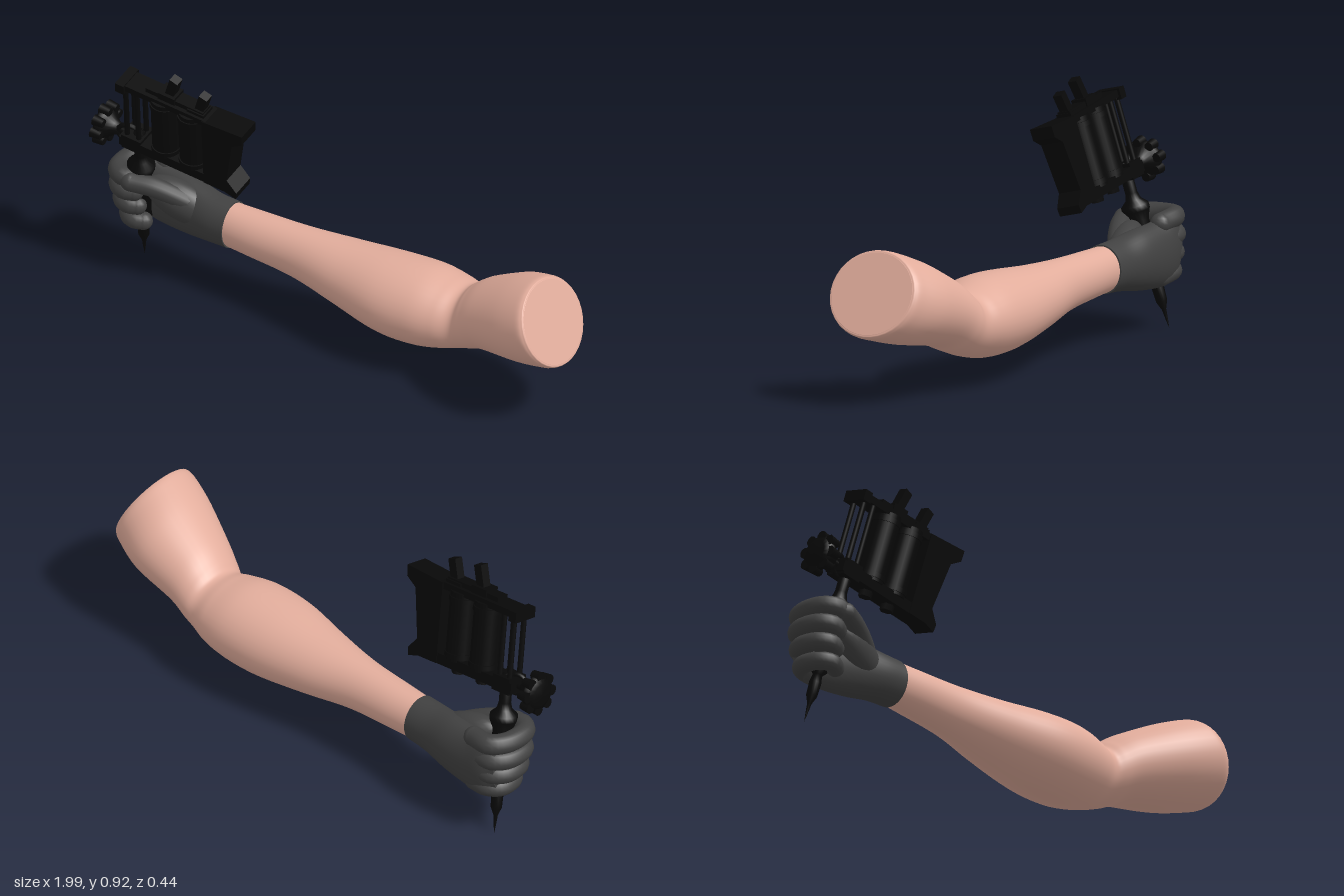
import * as THREE from 'three';

const skin = new THREE.MeshStandardMaterial({ color: 0xe2ad9c });
const glove = new THREE.MeshStandardMaterial({ color: 0x414141 });
const black = new THREE.MeshStandardMaterial({ color: 0x080808 });
skin.name = 'skin';
glove.name = 'glove grey';
black.name = 'machine black';

function add(parent, name, geometry, material, x = 0, y = 0, z = 0) {
  const mesh = new THREE.Mesh(geometry, material);
  mesh.name = name;
  mesh.position.set(x, y, z);
  parent.add(mesh);
  return mesh;
}

// Smooth closed body through sections [x, y, z, halfHeight, halfWidth, tilt], listed from -x to +x
function loft(sections, steps = 40, sides = 36) {
  const spline = (f) => new THREE.CatmullRomCurve3(sections.map(f), false, 'catmullrom', 0.5);
  const centre = spline((s) => new THREE.Vector3(s[0], s[1], s[2]));
  const size = spline((s) => new THREE.Vector3(s[3], s[4], s[5] || 0));
  const pos = [], idx = [];
  const ring = (t) => {
    const c = centre.getPoint(t), s = size.getPoint(t);
    for (let k = 0; k < sides; k++) {
      const a = (k / sides) * Math.PI * 2;
      const u = s.x * Math.cos(a);
      pos.push(c.x - u * Math.sin(s.z), c.y + u * Math.cos(s.z), c.z + s.y * Math.sin(a));
    }
    return c;
  };
  for (let i = 0; i <= steps; i++) ring(i / steps);
  for (let i = 0; i < steps; i++) {
    for (let k = 0; k < sides; k++) {
      const a = i * sides + k, b = i * sides + ((k + 1) % sides);
      idx.push(a, b, a + sides, b, b + sides, a + sides);
    }
  }
  // flat end caps with their own corners, so the rims stay crisp
  for (const t of [0, 1]) {
    const start = pos.length / 3;
    const c = ring(t);
    pos.push(c.x, c.y, c.z);
    for (let k = 0; k < sides; k++) {
      const a = start + k, b = start + ((k + 1) % sides);
      idx.push(start + sides, t ? a : b, t ? b : a);
    }
  }
  const g = new THREE.BufferGeometry();
  g.setAttribute('position', new THREE.Float32BufferAttribute(pos, 3));
  g.setIndex(idx);
  g.computeVertexNormals();
  return g;
}

// Rounded finger along a curve
function digit(parent, name, points, r) {
  const g = new THREE.Group();
  g.name = name;
  const pts = points.map((p) => new THREE.Vector3(...p));
  add(g, name + 'Tube', new THREE.TubeGeometry(new THREE.CatmullRomCurve3(pts), 24, r, 14), glove);
  for (const p of [pts[0], pts[pts.length - 1]]) {
    add(g, name + 'End', new THREE.SphereGeometry(r, 14, 10), glove, p.x, p.y, p.z);
  }
  parent.add(g);
}

// Forearm, elbow bend and upper arm in one skin
function buildArm() {
  return new THREE.Mesh(loft([
    [-0.5, 0.275, -0.067, 0.083, 0.073],
    [-0.4, 0.272, -0.065, 0.086, 0.08],
    [-0.2, 0.265, -0.062, 0.096, 0.093],
    [0, 0.252, -0.057, 0.118, 0.132],
    [0.2, 0.243, -0.047, 0.142, 0.168],
    [0.35, 0.243, -0.049, 0.145, 0.171],
    [0.45, 0.243, -0.053, 0.128, 0.155, 0.02],
    [0.515, 0.249, -0.054, 0.113, 0.134, 0.1],
    [0.56, 0.272, -0.046, 0.118, 0.14, 0.16],
    [0.63, 0.31, -0.03, 0.127, 0.152, 0.2],
    [0.79, 0.362, 0.003, 0.153, 0.183, 0.34],
    [0.9, 0.398, 0.035, 0.162, 0.18, 0.41],
    [0.932, 0.409, 0.043, 0.159, 0.17, 0.415],
    [0.937, 0.411, 0.045, 0.15, 0.16, 0.415],
  ], 110), skin);
}

function buildGlove() {
  const hand = new THREE.Group();
  hand.name = 'glovedHand';
  add(hand, 'palm', loft([
    [-0.925, 0.31, -0.115, 0.09, 0.03],
    [-0.87, 0.297, -0.115, 0.126, 0.053],
    [-0.79, 0.282, -0.106, 0.119, 0.066],
    [-0.68, 0.279, -0.09, 0.109, 0.077],
    [-0.58, 0.276, -0.073, 0.093, 0.079],
    [-0.49, 0.275, -0.067, 0.088, 0.079],
  ]), glove);

  // four fingers curled round the grip
  const fingers = [
    ['indexFinger', 0.405, 0, 0.037], ['middleFinger', 0.34, -0.008, 0.036],
    ['ringFinger', 0.276, -0.003, 0.034], ['littleFinger', 0.212, 0.014, 0.033],
  ];
  for (const [name, y, dx, r] of fingers) {
    const z = (y - 0.3) * 0.22;
    digit(hand, name, [
      [-0.81, y - 0.012, -0.122], [-0.895 + dx, y + 0.002, -0.13],
      [-0.93 + dx, y, -0.085 + z * 0.5], [-0.925 + dx, y - 0.003, -0.01 + z],
      [-0.885 + dx, y - 0.006, 0.02 + z], [-0.85 + dx, y - 0.01, 0.005 + z],
    ], r);
  }

  // thumb and its fleshy base
  digit(hand, 'thumb', [
    [-0.62, 0.305, -0.055], [-0.69, 0.345, -0.016],
    [-0.77, 0.377, 0.02], [-0.85, 0.39, 0.05],
  ], 0.036);
  const base = add(hand, 'thumbBase', new THREE.SphereGeometry(1, 24, 16), glove, -0.69, 0.315, -0.045);
  base.scale.set(0.15, 0.072, 0.062);
  base.rotation.set(0, 0.25, -0.4);
  return hand;
}

// Machine stands along its own y axis, needle point at the origin
function buildMachine() {
  const m = new THREE.Group();
  m.name = 'needleMachine';
  const box = (name, w, h, d, x, y, z = 0) => add(m, name, new THREE.BoxGeometry(w, h, d), black, x, y, z);
  const rod = (name, r, h, x, y, z = 0, sides = 16) =>
    add(m, name, new THREE.CylinderGeometry(r, r, h, sides), black, x, y, z);
  const turned = (points) => new THREE.LatheGeometry(points.map((p) => new THREE.Vector2(...p)), 20);

  // needle, tip, grip and tube in one turned profile
  add(m, 'gripAndNeedle', turned([
    [0, 0], [0.004, 0.03], [0.008, 0.07], [0.02, 0.1], [0.022, 0.15], [0.017, 0.18],
    [0.034, 0.2], [0.036, 0.4], [0.05, 0.435], [0.05, 0.455], [0.028, 0.475],
    [0.022, 0.5], [0.022, 0.61], [0, 0.61],
  ]), black);

  // frame bars and clamp
  box('lowerBar', 0.46, 0.04, 0.085, 0.17, 0.578);
  box('tubeClamp', 0.08, 0.06, 0.085, -0.01, 0.58);
  box('upperBar', 0.5, 0.026, 0.08, 0.19, 0.853);
  box('upperBarFrontBlock', 0.035, 0.04, 0.1, -0.045, 0.85);
  box('springPlate', 0.24, 0.02, 0.05, 0.17, 0.875);

  // rear upright with flared ends
  const outline = [
    [0.295, 0.865], [0.465, 0.877], [0.463, 0.835], [0.42, 0.805], [0.393, 0.62],
    [0.432, 0.575], [0.428, 0.545], [0.38, 0.558], [0.295, 0.558],
  ].map((p) => new THREE.Vector2(...p));
  const upright = new THREE.ExtrudeGeometry(new THREE.Shape(outline), { depth: 0.09, bevelEnabled: false });
  add(m, 'rearUpright', upright, black, 0, 0, -0.045);

  // two coils with end washers
  for (const x of [0.113, 0.228]) {
    rod('coil', 0.051, 0.26, x, 0.72, 0, 24);
    for (const y of [0.61, 0.822]) rod('coilWasher', 0.055, 0.018, x, y, 0, 24);
    rod('coilBolt', 0.025, 0.03, x, 0.55, 0, 6);
  }

  // slim front posts
  for (const x of [-0.035, 0.012]) {
    for (const z of [-0.025, 0.025]) rod('frontPost', 0.01, 0.26, x, 0.72, z, 10);
  }

  // leaning contact posts on top
  for (const [x, y] of [[0.15, 0.915], [0.272, 0.898]]) {
    box('contactPost', 0.034, 0.11, 0.035, x, y).rotation.z = -0.27;
    box('contactFoot', 0.07, 0.03, 0.06, x - 0.012, y - 0.035);
  }

  // clamp screw with a lobed, flared knob
  rod('clampScrew', 0.014, 0.12, -0.07, 0.583).rotation.z = Math.PI / 2;
  const ring = add(m, 'clampRing', new THREE.TorusGeometry(0.036, 0.009, 8, 24), black, -0.05, 0.585);
  ring.rotation.y = 0.3;
  const knob = new THREE.Group();
  knob.name = 'clampKnob';
  knob.position.set(-0.135, 0.583, 0);
  knob.rotation.z = Math.PI / 2;
  add(knob, 'knobBody', turned([
    [0, -0.055], [0.02, -0.055], [0.028, -0.035], [0.052, -0.012], [0.064, 0],
    [0.064, 0.022], [0.04, 0.034], [0, 0.036],
  ]), black);
  for (let i = 0; i < 8; i++) {
    const a = (i / 8) * Math.PI * 2;
    add(knob, 'knobLobe', new THREE.CylinderGeometry(0.02, 0.016, 0.04, 10), black,
      0.062 * Math.cos(a), 0.006, 0.062 * Math.sin(a));
  }
  m.add(knob);

  m.position.set(-0.895, 0.004, -0.108);
  m.rotation.set(0.24, 0, -0.125);
  return m;
}

export function createModel() {
  const model = new THREE.Group();
  model.name = 'armWithMachine';
  const arm = buildArm();
  arm.name = 'arm';
  model.add(arm, buildGlove(), buildMachine());
  return model;
}
